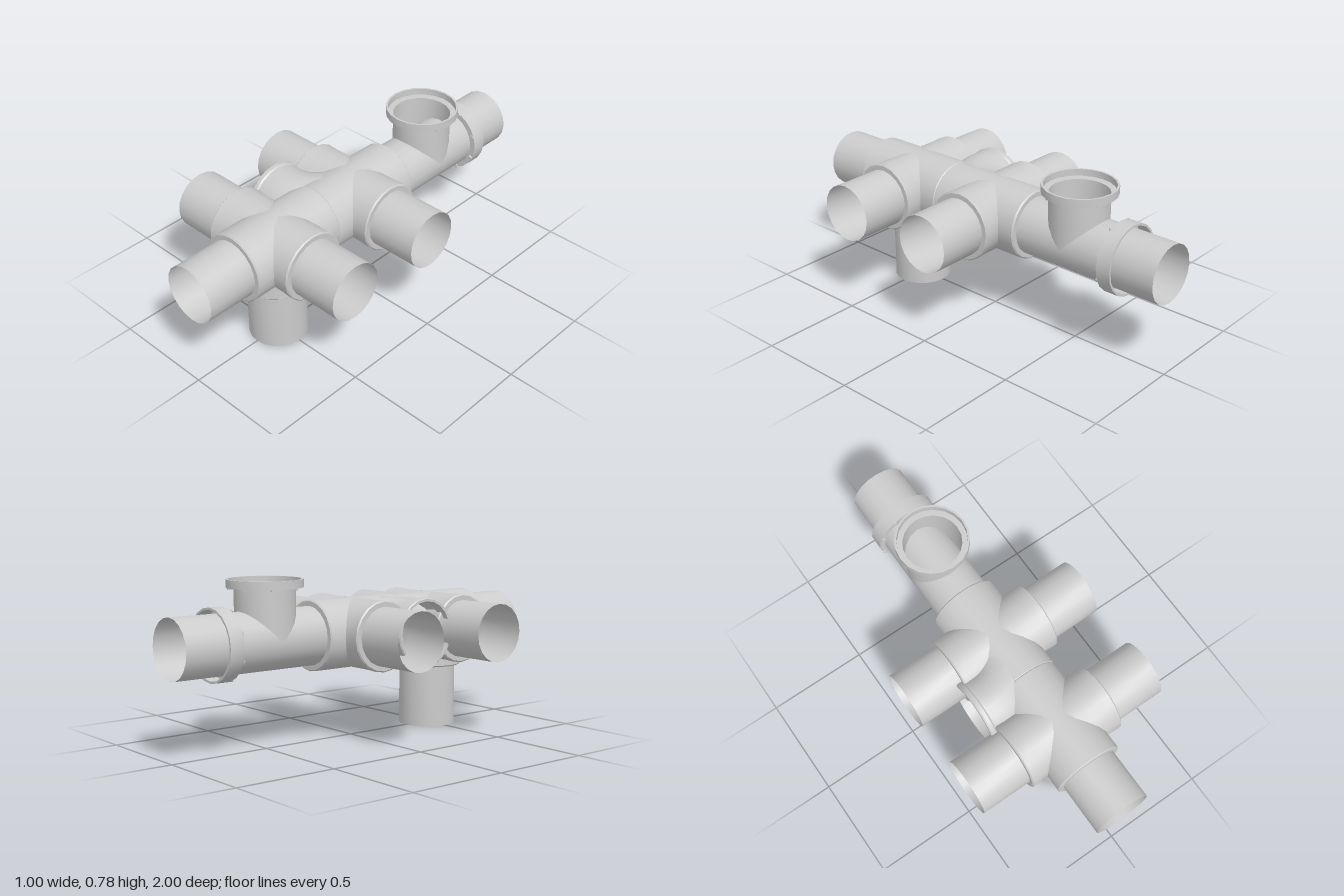
import * as THREE from 'three';
import { toCreasedNormals } from 'three/addons/utils/BufferGeometryUtils.js';

const SIDES = 20;
const AXIS_Y = 0.502; // height of the main run
const PIPE = 0.14;    // pipe radius
const SLEEVE = 0.169; // fitting radius

const material = new THREE.MeshStandardMaterial({ color: 0xcccccc, side: THREE.DoubleSide });

function part(name, geometry) {
  const mesh = new THREE.Mesh(toCreasedNormals(geometry, 0.6), material);
  mesh.name = name;
  return mesh;
}

// Turned surface along +y from [radius, height] pairs
function turned(profile) {
  return new THREE.LatheGeometry(profile.map(([r, h]) => new THREE.Vector2(r, h)), SIDES);
}

// Side branch along +y whose root is shaped to sit on a run of radius runR along z
function branch(name, runR, profile) {
  const geometry = turned([[profile[0][0], 0], ...profile]);
  const pos = geometry.attributes.position;
  const stride = profile.length + 1;
  for (let i = 0; i < pos.count; i += stride) {
    const x = pos.getX(i);
    pos.setY(i, Math.sqrt(Math.max(0, runR * runR - x * x)));
  }
  return part(name, geometry);
}

// Sleeve with a small chamfered lip, then the pipe coming out of it
function sleevedProfile(sleeveEnd, pipeEnd) {
  return [[0.166, sleeveEnd - 0.06], [SLEEVE, sleeveEnd - 0.006], [0.163, sleeveEnd],
    [PIPE, sleeveEnd], [PIPE, pipeEnd]];
}

// Open cup around a pipe, opening towards +y, with small ribs under it
function socket(name, radius, depth) {
  const group = new THREE.Group();
  group.name = name;
  group.add(part(name + 'Cup', turned([[PIPE, 0], [radius, 0], [radius, depth],
    [radius - 0.01, depth], [radius - 0.01, 0.006], [PIPE, 0.006]])));
  for (let i = 0; i < 8; i++) {
    const a = (i + 0.5) * Math.PI / 4;
    const rib = part(name + 'Rib', new THREE.BoxGeometry(0.014, 0.008, 0.02));
    rib.position.set(Math.sin(a) * 0.16, -0.004, Math.cos(a) * 0.16);
    rib.rotation.y = a;
    group.add(rib);
  }
  return group;
}

export function createModel() {
  const model = new THREE.Group();
  model.name = 'pipeManifold';

  // Main run: rear pipe, two joined cross fittings, front pipe
  const run = part('mainRun', turned([
    [PIPE, -1], [PIPE, -0.25], [0.163, -0.25], [SLEEVE, -0.244],
    [SLEEVE, 0.246], [0.165, 0.25], [SLEEVE, 0.254],
    [SLEEVE, 0.744], [0.163, 0.75], [PIPE, 0.75], [PIPE, 1],
  ]));
  run.rotation.x = Math.PI / 2;
  run.position.y = AXIS_Y;
  model.add(run);

  // Side arms on both crosses
  for (const z of [0, 0.5]) {
    for (const side of [1, -1]) {
      const arm = branch(side > 0 ? 'leftArm' : 'rightArm', SLEEVE, sleevedProfile(0.25, 0.5));
      arm.rotation.z = -side * Math.PI / 2;
      arm.position.set(0, AXIS_Y, z);
      model.add(arm);
    }
  }

  // Standing pipe under the front cross
  const leg = branch('downPipe', SLEEVE, sleevedProfile(0.199, AXIS_Y));
  leg.rotation.z = Math.PI;
  leg.position.set(0, AXIS_Y, 0.5);
  model.add(leg);

  // Upright outlet on the rear pipe with its socket
  const outlet = branch('upOutlet', PIPE, [[PIPE, 0.241]]);
  outlet.position.set(0, AXIS_Y, -0.5);
  model.add(outlet);
  const flange = socket('outletFlange', 0.176, 0.038);
  flange.position.set(0, 0.743, -0.5);
  model.add(flange);

  // Rear pipe collar
  const collar = socket('rearCollar', SLEEVE, 0.072);
  collar.rotation.x = -Math.PI / 2;
  collar.position.set(0, AXIS_Y, -0.725);
  model.add(collar);

  // Swept inlet bending from the right side into the run
  const k = 0.2 * 0.5523;
  const path = new THREE.CurvePath();
  const v = (x, z) => new THREE.Vector3(x, AXIS_Y, z);
  path.add(new THREE.LineCurve3(v(-0.25, 0.235), v(-0.2, 0.235)));
  path.add(new THREE.CubicBezierCurve3(v(-0.2, 0.235), v(-0.2 + k, 0.235), v(0, 0.035 + k), v(0, 0.035)));
  path.add(new THREE.LineCurve3(v(0, 0.035), v(0, -0.1)));
  model.add(part('sweptInlet', new THREE.TubeGeometry(path, 24, 0.163, SIDES)));

  // Open lip of the swept inlet
  const lip = part('inletLip', turned([[0.163, 0], [SLEEVE, 0.008], [SLEEVE, 0.026],
    [0.164, 0.032], [0.152, 0.032], [0.152, -0.03]]));
  lip.rotation.z = Math.PI / 2;
  lip.position.set(-0.248, AXIS_Y, 0.235);
  model.add(lip);

  return model;
}
